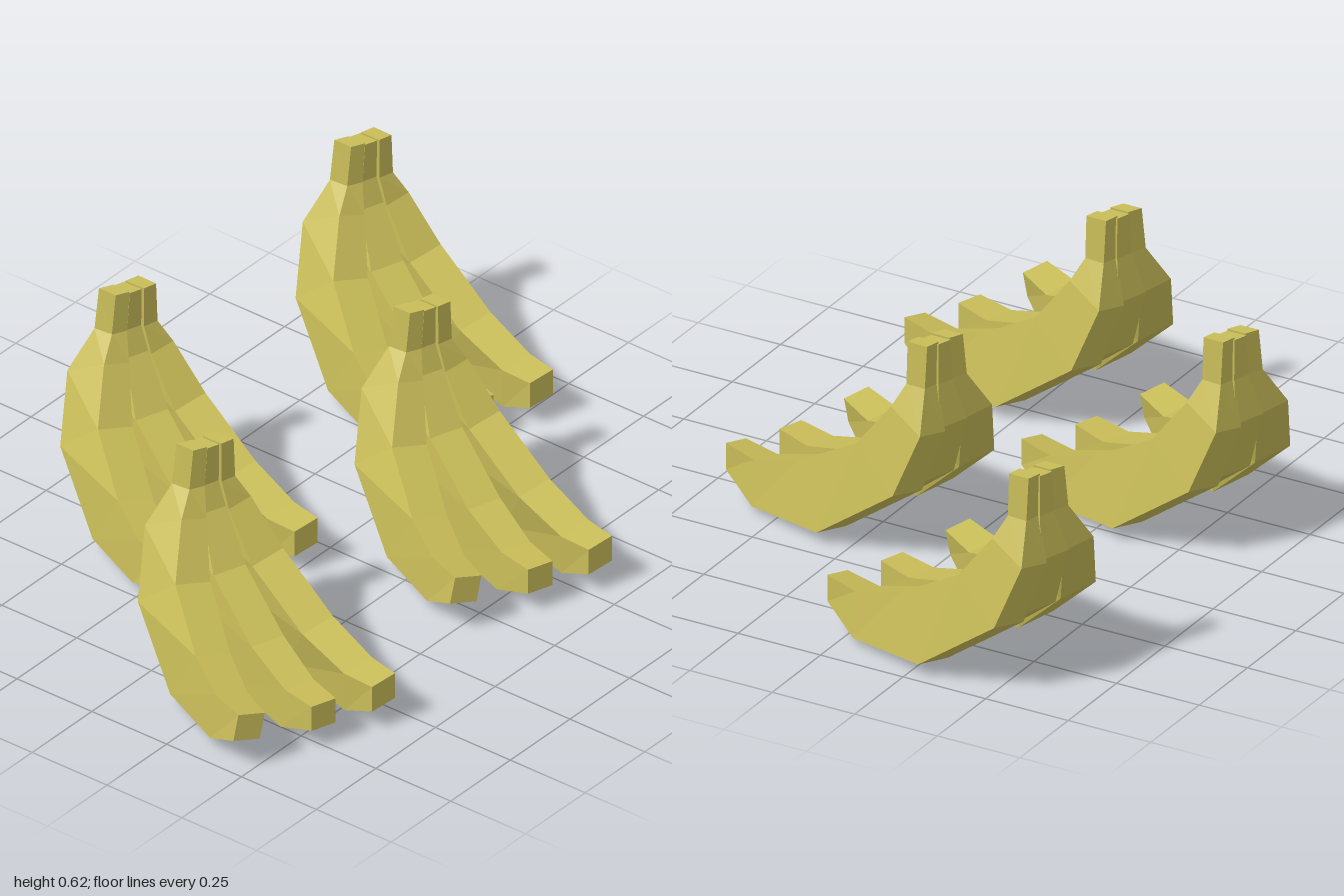
import * as THREE from 'three';

// Half widths of the seven cross-sections, from stem to tip
const INNER_HALF = [0.02, 0.022, 0.036, 0.05, 0.05, 0.045, 0.038];
const OUTER_HALF = [0.021, 0.025, 0.047, 0.055, 0.055, 0.05, 0.038];

// Each banana: heading, roll, and centre points of its inner and outer curves
const BANANAS = [
  {
    name: 'rightBanana', heading: 0.46, roll: -0.18,
    inner: [[-0.033, 0.62, 0.03], [-0.04, 0.5, 0.025], [-0.078, 0.43, 0.045], [-0.165, 0.3, 0.11],
      [-0.28, 0.2, 0.27], [-0.34, 0.155, 0.38], [-0.395, 0.165, 0.49]],
    outer: [[-0.033, 0.62, -0.025], [-0.042, 0.5, -0.028], [-0.09, 0.38, -0.055], [-0.165, 0.2, -0.01],
      [-0.255, 0.03, 0.17], [-0.345, 0.02, 0.37], [-0.41, 0.09, 0.485]],
  },
  {
    name: 'middleBanana', heading: 0.32, roll: 0,
    inner: [[0.005, 0.615, 0.045], [0.003, 0.5, 0.04], [-0.01, 0.43, 0.06], [-0.055, 0.3, 0.145],
      [-0.115, 0.18, 0.32], [-0.165, 0.13, 0.465], [-0.2, 0.135, 0.575]],
    outer: [[0.005, 0.615, -0.012], [0.005, 0.5, -0.015], [-0.003, 0.38, -0.035], [-0.025, 0.2, 0.025],
      [-0.09, 0.025, 0.24], [-0.163, 0.01, 0.455], [-0.2, 0.06, 0.575]],
  },
  {
    name: 'leftBanana', heading: 0.25, roll: 0.18,
    inner: [[0.04, 0.62, 0.063], [0.045, 0.5, 0.062], [0.058, 0.43, 0.09], [0.055, 0.3, 0.185],
      [0.02, 0.185, 0.38], [-0.005, 0.135, 0.535], [-0.03, 0.145, 0.64]],
    outer: [[0.04, 0.62, 0.003], [0.046, 0.5, 0.003], [0.08, 0.38, -0.02], [0.1, 0.2, 0.045],
      [0.083, 0.025, 0.285], [0.015, 0.01, 0.525], [-0.03, 0.068, 0.64]],
  },
];

// Four-sided tapered tube lofted through the cross-sections, with end caps
function bananaGeometry({ heading, roll, inner, outer }) {
  const rings = inner.map((p, i) => {
    const tilt = i > 1 ? roll : 0;
    const side = new THREE.Vector3(Math.cos(heading), tilt, Math.sin(heading));
    const at = (c, s) => new THREE.Vector3(...c).addScaledVector(side, s);
    return [at(p, -INNER_HALF[i]), at(p, INNER_HALF[i]),
      at(outer[i], OUTER_HALF[i]), at(outer[i], -OUTER_HALF[i])];
  });
  const points = [];
  const quad = (a, b, c, d) => points.push(a, b, c, a, c, d);
  for (let i = 0; i < rings.length - 1; i++) {
    for (let k = 0; k < 4; k++) {
      const n = (k + 1) % 4;
      quad(rings[i][k], rings[i + 1][k], rings[i + 1][n], rings[i][n]);
    }
  }
  const tip = rings[rings.length - 1];
  quad(...rings[0]);
  quad(tip[3], tip[2], tip[1], tip[0]);
  const geometry = new THREE.BufferGeometry().setFromPoints(points);
  geometry.computeVertexNormals();
  return geometry;
}

export function createModel() {
  const model = new THREE.Group();
  model.name = 'bananaBunches';
  const peel = new THREE.MeshStandardMaterial({ color: 0xc8bc58 });
  peel.name = 'bananaYellow';
  peel.flatShading = true;

  const geometries = BANANAS.map(bananaGeometry);

  // Four identical bunches
  const places = [[-0.55, 0], [-0.097, -0.62], [0.315, 0.035], [0.84, -0.58]];
  places.forEach(([x, z], i) => {
    const bunch = new THREE.Group();
    bunch.name = `bunch${i + 1}`;
    bunch.position.set(x, 0, z);
    geometries.forEach((geometry, k) => {
      const banana = new THREE.Mesh(geometry, peel);
      banana.name = BANANAS[k].name;
      bunch.add(banana);
    });
    model.add(bunch);
  });
  return model;
}
